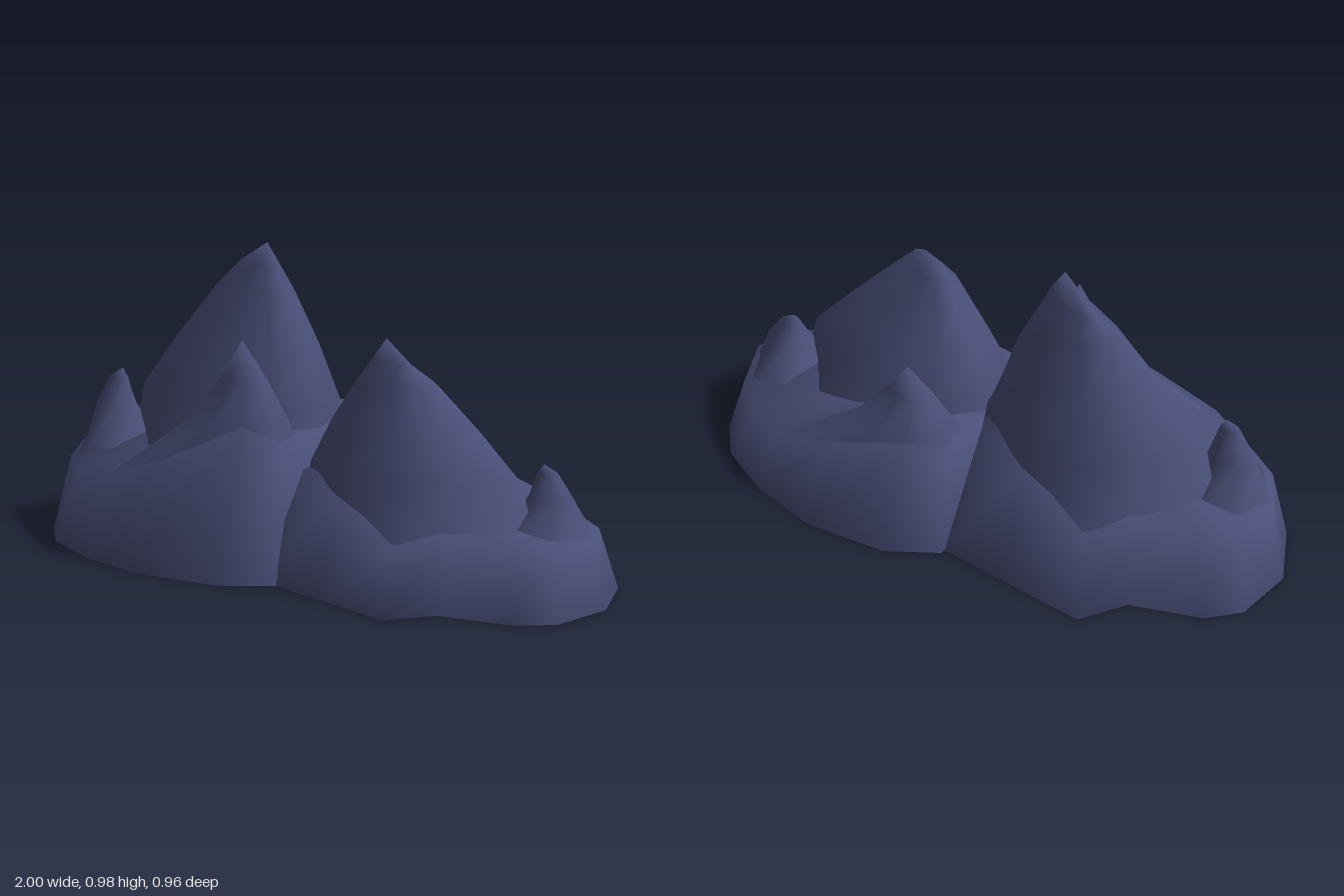
import * as THREE from 'three';

// Skin closed rings of [x, y, z] points, bottom to top, with optional end points
function loft(rings, tip, bottom) {
  const n = rings[0].length;
  const pos = rings.flat(2);
  const index = [];
  for (let r = 0; r < rings.length - 1; r++) {
    for (let i = 0; i < n; i++) {
      const a = r * n + i, b = r * n + (i + 1) % n;
      index.push(a, b, b + n, a, b + n, a + n);
    }
  }
  const top = (rings.length - 1) * n;
  const tipId = rings.length * n;
  pos.push(...tip);
  for (let i = 0; i < n; i++) index.push(top + i, top + (i + 1) % n, tipId);
  if (bottom) {
    pos.push(...bottom);
    for (let i = 0; i < n; i++) index.push((i + 1) % n, i, tipId + 1);
  }
  const g = new THREE.BufferGeometry();
  g.setAttribute('position', new THREE.Float32BufferAttribute(pos, 3));
  g.setIndex(index);
  g.computeVertexNormals();
  return g;
}

const level = (y, pts) => pts.map(([x, z]) => [x, y, z]);

// Foot of the mountain: ground x, z then shoulder x, y, z
const FOOT = [
  [-1, -0.02, -0.95, 0.26, -0.02],
  [-0.93, 0.19, -0.88, 0.25, 0.15],
  [-0.84, 0.30, -0.77, 0.24, 0.25],
  [-0.65, 0.40, -0.60, 0.26, 0.36],
  [-0.41, 0.46, -0.40, 0.33, 0.37],
  [-0.13, 0.44, -0.10, 0.48, 0.33],
  [0.03, 0.35, 0.00, 0.42, 0.25],
  [0.05, 0.10, 0.00, 0.42, 0.08],
  [0.03, -0.15, -0.02, 0.42, -0.12],
  [0.00, -0.38, -0.08, 0.45, -0.27],
  [-0.25, -0.43, -0.25, 0.40, -0.34],
  [-0.51, -0.48, -0.49, 0.25, -0.41],
  [-0.62, -0.35, -0.60, 0.30, -0.30],
  [-0.85, -0.30, -0.78, 0.25, -0.24],
  [-0.95, -0.22, -0.90, 0.25, -0.18],
];

// Main summit with its short ridge
const MAIN = [
  [0.2, [[-0.8, -0.08], [-0.62, 0.15], [-0.4, 0.2], [-0.15, 0.15], [0, 0.02], [-0.03, -0.25], [-0.25, -0.37], [-0.48, -0.4], [-0.62, -0.29]]],
  [0.47, [[-0.74, -0.08], [-0.56, 0.08], [-0.36, 0.12], [-0.15, 0.1], [-0.02, 0], [-0.06, -0.2], [-0.25, -0.33], [-0.46, -0.33], [-0.6, -0.25]]],
  [0.65, [[-0.61, -0.1], [-0.5, 0], [-0.33, 0.04], [-0.18, 0.03], [-0.09, -0.04], [-0.12, -0.17], [-0.25, -0.27], [-0.42, -0.28], [-0.53, -0.22]]],
  [0.82, [[-0.48, -0.13], [-0.43, -0.08], [-0.32, -0.03], [-0.23, -0.03], [-0.18, -0.07], [-0.2, -0.15], [-0.27, -0.21], [-0.38, -0.23], [-0.45, -0.2]]],
  [0.9, [[-0.41, -0.17], [-0.38, -0.14], [-0.3, -0.07], [-0.25, -0.06], [-0.22, -0.09], [-0.24, -0.13], [-0.3, -0.17], [-0.38, -0.2], [-0.41, -0.19]]],
];

// Secondary peak beside the summit
const SIDE = [
  [0.25, [[-0.62, 0.33], [-0.4, 0.385], [-0.1, 0.37], [0.01, 0.27], [0.01, 0.12], [-0.2, 0.05], [-0.45, 0.15]]],
  [0.47, [[-0.34, 0.24], [-0.22, 0.31], [-0.11, 0.33], [-0.03, 0.25], [-0.05, 0.14], [-0.16, 0.1], [-0.28, 0.15]]],
  [0.6, [[-0.25, 0.21], [-0.2, 0.24], [-0.14, 0.25], [-0.1, 0.21], [-0.11, 0.17], [-0.17, 0.15], [-0.22, 0.17]]],
];

// Small peak at the outer end
const END = [
  [0.2, [[-0.95, 0], [-0.87, 0.16], [-0.7, 0.16], [-0.62, 0], [-0.7, -0.17], [-0.87, -0.14]]],
  [0.4, [[-0.88, 0], [-0.83, 0.06], [-0.76, 0.08], [-0.72, 0], [-0.76, -0.06], [-0.83, -0.05]]],
  [0.5, [[-0.82, 0], [-0.8, 0.02], [-0.765, 0.03], [-0.75, 0], [-0.77, -0.02], [-0.8, -0.02]]],
];

export function createModel() {
  const rock = new THREE.MeshStandardMaterial({ color: 0x4a4f78 });
  rock.name = 'slateBlueRock';

  const cx = -0.5;
  const footRings = [
    FOOT.map(([x, z]) => [cx + (x - cx) * 0.85, 0, z * 0.85]),
    FOOT.map(([x, z]) => [x, 0, z]),
    FOOT.map(([, , x, y, z]) => [x, y, z]),
  ];
  const peak = (rows, tip) => loft(rows.map(([y, pts]) => level(y, pts)), tip);
  const parts = {
    mountainFoot: loft(footRings, [-0.45, 0.38, 0], [cx, 0, 0]),
    mainPeak: peak(MAIN, [-0.27, 0.975, -0.1]),
    sidePeak: peak(SIDE, [-0.18, 0.72, 0.2]),
    endPeak: peak(END, [-0.77, 0.53, 0]),
  };

  // The same mountain twice: full height, and turned round and lower
  const makeMountain = (name, x, turn, height) => {
    const mountain = new THREE.Group();
    mountain.name = name;
    for (const [part, geometry] of Object.entries(parts)) {
      const mesh = new THREE.Mesh(geometry, rock);
      mesh.name = part;
      mesh.position.x = -cx;
      mountain.add(mesh);
    }
    mountain.position.x = x;
    mountain.rotation.y = turn;
    mountain.scale.y = height;
    return mountain;
  };

  const model = new THREE.Group();
  model.name = 'mountainRange';
  model.add(
    makeMountain('tallMountain', cx, 0, 1),
    makeMountain('lowMountain', -cx, Math.PI - 0.09, 0.768),
  );
  return model;
}
